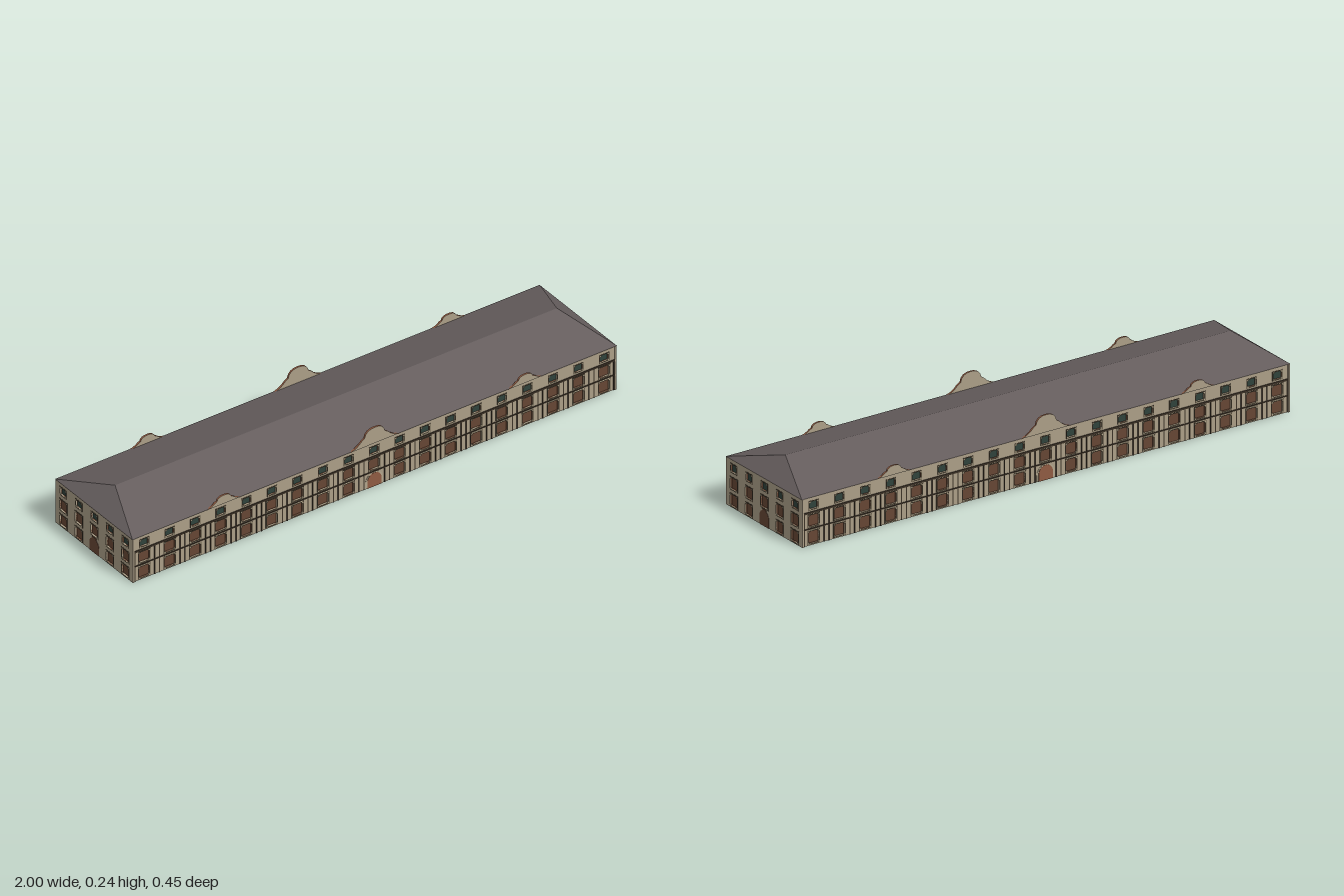
import * as THREE from 'three';

const mat = (name, color, side = THREE.FrontSide) => {
  const m = new THREE.MeshStandardMaterial({ color, side });
  m.name = name;
  return m;
};

const T = 0.006;                        // wall thickness
const W = 0.998, D = 0.2205, H = 0.176; // half length, half depth to the wall face, eave height
const END = 0.2238;                     // half width of the end walls
const RECESS = 0.008;                   // depth of the window niches

export function createModel() {
  const stone = mat('stone', 0xab9e87);
  const shutter = mat('shutter brown', 0x664634);
  const glass = mat('green glass', 0x2f423b);
  const frameMat = mat('window frame', 0x6a604b);
  const trim = mat('pale trim', 0xb3a68c);
  const dark = mat('dark moulding', 0x3b3126);
  const brick = mat('brick', 0x8f5b42);
  const slate = mat('slate', 0x655d5d, THREE.DoubleSide);

  const model = new THREE.Group();
  model.name = 'longBuilding';

  // Every facade is built facing +z with its wall face at z = 0.
  // Box from z0 to z1
  const box = (parent, name, m, w, h, x, y, z0, z1) => {
    const b = new THREE.Mesh(new THREE.BoxGeometry(w, h, z1 - z0), m);
    b.name = name;
    b.position.set(x, y, (z0 + z1) / 2);
    parent.add(b);
  };

  // Extruded shape from z0 to z1
  const plate = (parent, name, mats, shape, x, y, z0, z1) => {
    const g = new THREE.ExtrudeGeometry(shape, { depth: z1 - z0, bevelEnabled: false, curveSegments: 10 });
    const m = new THREE.Mesh(g, mats);
    m.name = name;
    m.position.set(x, y, z0);
    parent.add(m);
  };

  const rect = (w, h, x = 0, y = 0) => [[-1, -1], [1, -1], [1, 1], [-1, 1]]
    .map(([sx, sy]) => new THREE.Vector2(x + sx * w / 2, y + sy * h / 2));

  // Rectangular ring around an opening
  const ring = (w, h, border) => {
    const s = new THREE.Shape(rect(w + 2 * border, h + 2 * border));
    s.holes.push(new THREE.Path(rect(w, h)));
    return s;
  };

  // Recessed window: cuts the wall and adds frame, niche, infill and corner blocks
  const addWindow = (parent, wall, name, m, x, y0, y1, width) => {
    const border = 0.0035, w = width - 2 * border, h = y1 - y0 - 2 * border, y = (y0 + y1) / 2;
    wall.holes.push(new THREE.Path(rect(w, h, x, y)));
    const g = new THREE.Group();
    g.name = name;
    g.position.set(x, y, 0);
    plate(g, 'outline', dark, ring(w, h, border), 0, 0, 0, 0.0007);
    plate(g, 'frame', frameMat, ring(w, h, border - 0.001), 0, 0, 0, 0.0014);
    plate(g, 'reveal', shutter, ring(w, h, 0.0015), 0, 0, -RECESS, -0.001);
    box(g, 'infill', m, w, h, 0, 0, -RECESS, -RECESS + 0.001);
    box(g, 'backing', stone, w, h, 0, 0, -RECESS - 0.001, -RECESS);
    if (m === shutter) box(g, 'innerShutter', shutter, w / 2, h, 0, 0, -RECESS - 0.0015, -RECESS - 0.0005);
    for (const sx of [-1, 1]) for (const sy of [-1, 1])
      box(g, 'cornerBlock', trim, 0.005, 0.005, sx * (w / 2 - 0.002), sy * (h / 2 - 0.002), -0.002, 0.002);
    parent.add(g);
  };

  const archShape = (w, h) => {
    const r = w / 2, s = new THREE.Shape();
    s.moveTo(-r, 0);
    s.lineTo(r, 0);
    s.lineTo(r, h - r);
    s.absarc(0, h - r, r, 0, Math.PI, false);
    s.lineTo(-r, 0);
    return s;
  };

  // Bell-shaped parapet gable with a rounded crown and sloping shoulders
  const gableShape = (hw, h) => {
    const half = [[1, 0], [0.82, 0.08], [0.66, 0.24], [0.54, 0.42], [0.42, 0.54],
      [0.38, 0.74], [0.28, 0.9], [0.15, 0.98]];
    const pts = [...half, [0, 1], ...half.map(([x, y]) => [-x, y]).reverse()];
    return new THREE.Shape(pts.map(([x, y]) => new THREE.Vector2(x * hw, y * h)));
  };

  // Long facade: nineteen bays, cornice, balcony band, pilasters, doorway and three gables
  const longFacade = () => {
    const g = new THREE.Group();
    g.name = 'longFacade';
    const L = 2 * (W - T);
    const wall = new THREE.Shape(rect(L, H, 0, H / 2));
    const step = 0.1055;
    for (let i = -9; i <= 9; i++) {
      const x = i * step;
      addWindow(g, wall, 'upperWindow', glass, x, 0.128, 0.163, 0.042);
      addWindow(g, wall, 'middleWindow', shutter, x, 0.065, 0.114, 0.051);
      if (i !== 0) {
        addWindow(g, wall, 'groundWindow', shutter, x, 0.003, 0.055, 0.051);
        box(g, 'lintel', trim, 0.044, 0.003, x, 0.0565, 0, 0.0025);
      }
    }
    plate(g, 'wall', stone, wall, 0, 0, -T, 0);
    for (let i = -9; i < 9; i++) for (const s of [-1, 1])
      box(g, 'pilasterEdge', dark, 0.004, 0.116, (i + 0.5) * step + s * 0.01, 0.058, 0, 0.002);
    for (const s of [-1, 1]) box(g, 'cornerPilaster', dark, 0.004, 0.116, s * 0.988, 0.058, 0, 0.002);
    box(g, 'cornice', dark, L, 0.007, 0, 0.12, 0, 0.003);
    box(g, 'balconyBand', dark, L, 0.004, 0, 0.061, 0, 0.003);
    plate(g, 'doorSurround', trim, archShape(0.072, 0.059), 0, 0, 0, 0.001);
    plate(g, 'door', brick, archShape(0.058, 0.055), 0, 0, -T - 0.001, 0.002);
    box(g, 'doorHood', dark, 0.09, 0.004, 0, 0.061, -T - 0.002, 0.0032);
    for (const [x, hw, h] of [[-0.622, 0.07, 0.034], [0, 0.1, 0.064], [0.622, 0.07, 0.034]])
      plate(g, 'gable', [stone, brick], gableShape(hw, h), x, H, -0.003, 0.004);
    return g;
  };

  // End facade: five columns of windows with an arched doorway
  const endFacade = () => {
    const g = new THREE.Group();
    g.name = 'endFacade';
    const wall = new THREE.Shape(rect(2 * END, H, 0, H / 2));
    for (let i = -2; i <= 2; i++) {
      const x = i * 0.09;
      addWindow(g, wall, 'upperWindow', glass, x, 0.126, 0.162, 0.041);
      addWindow(g, wall, 'middleWindow', shutter, x, 0.063, 0.113, 0.048);
      if (i !== 0) addWindow(g, wall, 'groundWindow', shutter, x, 0.002, 0.052, 0.048);
    }
    plate(g, 'wall', stone, wall, 0, 0, -T, 0);
    plate(g, 'door', shutter, archShape(0.055, 0.058), 0, 0, -T - 0.001, 0.001);
    box(g, 'keystone', shutter, 0.024, 0.005, 0, 0.0595, 0, 0.0015);
    return g;
  };

  for (const s of [1, -1]) {
    const f = longFacade();
    f.position.z = s * D;
    f.rotation.y = s > 0 ? 0 : Math.PI;
    const e = endFacade();
    e.position.x = s * W;
    e.rotation.y = s * Math.PI / 2;
    model.add(f, e);
  }

  // Hipped roof, open underneath
  const X = 1, Z = 0.2238, R = 0.912, top = 0.24, y = H + 0.0005;
  const a = [-X, y, Z], b = [X, y, Z], c = [X, y, -Z], d = [-X, y, -Z], l = [-R, top, 0], r = [R, top, 0];
  const roofGeo = new THREE.BufferGeometry();
  const tris = [a, b, r, a, r, l, c, d, l, c, l, r, b, c, r, d, a, l];
  roofGeo.setAttribute('position', new THREE.Float32BufferAttribute(tris.flat(), 3));
  roofGeo.computeVertexNormals();
  const roof = new THREE.Mesh(roofGeo, slate);
  roof.name = 'roof';
  model.add(roof);

  return model;
}
